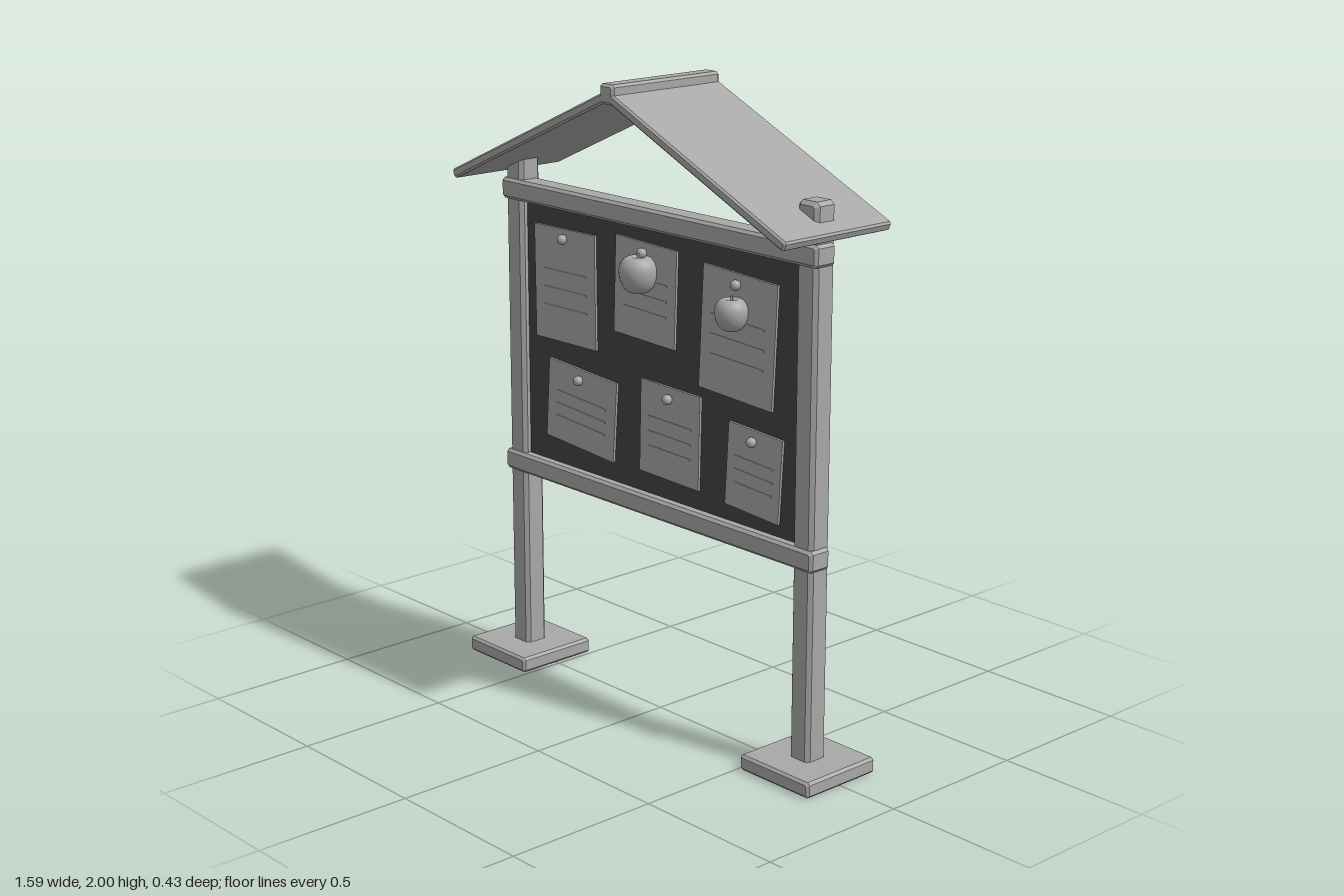
import * as THREE from 'three';

const grey = new THREE.MeshStandardMaterial({ color: 0xa8a8a8 });
grey.name = 'light grey';
const dark = new THREE.MeshStandardMaterial({ color: 0x444444 });
dark.name = 'board dark grey';

// Box with every edge chamfered by b
function chamferBox(w, h, d, b) {
  const x = w / 2, y = h / 2;
  const shape = new THREE.Shape([
    [-x + b, -y], [x - b, -y], [x, -y + b], [x, y - b],
    [x - b, y], [-x + b, y], [-x, y - b], [-x, -y + b],
  ].map(([px, py]) => new THREE.Vector2(px, py)));
  const geo = new THREE.ExtrudeGeometry(shape, {
    depth: d - 2 * b, bevelEnabled: true, bevelSegments: 1,
    bevelThickness: b, bevelSize: b, bevelOffset: -b,
  });
  return geo.translate(0, 0, b - d / 2);
}

function add(parent, name, geometry, material, x, y, z) {
  const mesh = new THREE.Mesh(geometry, material);
  mesh.name = name;
  mesh.position.set(x, y, z);
  parent.add(mesh);
  return mesh;
}

// Apple body of unit radius, dimpled at both ends
function appleGeometry() {
  const points = [[0, -0.78], [0.2, -0.88], [0.45, -0.9], [0.72, -0.68], [0.92, -0.3],
    [1, 0.12], [0.95, 0.5], [0.74, 0.82], [0.45, 0.93], [0.2, 0.84], [0, 0.65]];
  const curve = new THREE.SplineCurve(points.map(([x, y]) => new THREE.Vector2(x, y)));
  const profile = curve.getPoints(28);
  profile.forEach((p) => { p.x = Math.max(0, p.x); });
  return new THREE.LatheGeometry(profile, 28);
}

export function createModel() {
  const model = new THREE.Group();
  model.name = 'noticeBoard';

  // Feet, posts and roof slopes, mirrored left and right
  const slope = Math.atan2(0.33, 0.735);
  for (const side of [1, -1]) {
    const label = side > 0 ? 'left' : 'right';
    add(model, `${label}Foot`, chamferBox(0.285, 0.05, 0.285, 0.008), grey, side * 0.65, 0.025, 0);
    add(model, `${label}Post`, chamferBox(0.08, 1.7, 0.08, 0.012), grey, side * 0.65, 0.88, 0);
    const roof = add(model, `${label}RoofPanel`, chamferBox(0.806, 0.03, 0.428, 0.006), grey,
      side * 0.3675, 1.801, 0);
    roof.rotation.z = -side * slope;
  }
  add(model, 'ridgeCap', chamferBox(0.06, 0.06, 0.428, 0.008), grey, 0, 1.97, 0);

  // Cross rails and the board held between them
  add(model, 'topRail', chamferBox(1.4, 0.066, 0.08, 0.009), grey, 0, 1.578, 0.01);
  add(model, 'bottomRail', chamferBox(1.4, 0.066, 0.08, 0.009), grey, 0, 0.678, 0.01);
  add(model, 'boardPanel', new THREE.BoxGeometry(1.215, 0.85, 0.036), dark, 0, 1.128, 0);

  // Pinned notes: x, y, width, height, tilt, pin x, pin y
  const notes = [
    [-0.417, 1.299, 0.29, 0.365, 0.01, -0.418, 1.45],
    [-0.042, 1.347, 0.275, 0.305, -0.035, -0.045, 1.468],
    [0.362, 1.283, 0.31, 0.38, -0.05, 0.362, 1.44],
    [-0.344, 0.913, 0.325, 0.26, -0.07, -0.347, 1.008],
    [0.069, 0.923, 0.265, 0.295, -0.025, 0.069, 1.034],
    [0.434, 0.886, 0.225, 0.26, -0.06, 0.434, 0.981],
  ];
  const pin = new THREE.SphereGeometry(0.016, 16, 12);
  notes.forEach(([x, y, w, h, tilt, pinX, pinY], i) => {
    const note = new THREE.Group();
    note.name = `note${i + 1}`;
    note.position.set(x, y, 0.022);
    note.rotation.z = tilt;
    model.add(note);
    add(note, 'paper', new THREE.BoxGeometry(w, h, 0.008), grey, 0, 0, 0);
    for (const row of [0.12, -0.04, -0.2]) {
      add(note, 'ruledLine', new THREE.BoxGeometry(w * 0.72, 0.006, 0.003), grey, 0, row * h, 0.005);
    }
    add(model, `pin${i + 1}`, pin, grey, pinX, pinY, 0.036);
  });

  // Apples fixed in front of two notes
  const appleBody = appleGeometry();
  for (const [x, y, r] of [[-0.043, 1.405, 0.06], [0.362, 1.355, 0.051]]) {
    const apple = new THREE.Group();
    apple.name = 'apple';
    apple.position.set(x, y, 0.05);
    apple.scale.setScalar(r);
    model.add(apple);
    add(apple, 'appleBody', appleBody, grey, 0, 0, 0);
    add(apple, 'appleStem', new THREE.CylinderGeometry(0.07, 0.07, 0.5, 8), grey, 0, 0.85, 0);
  }
  return model;
}
